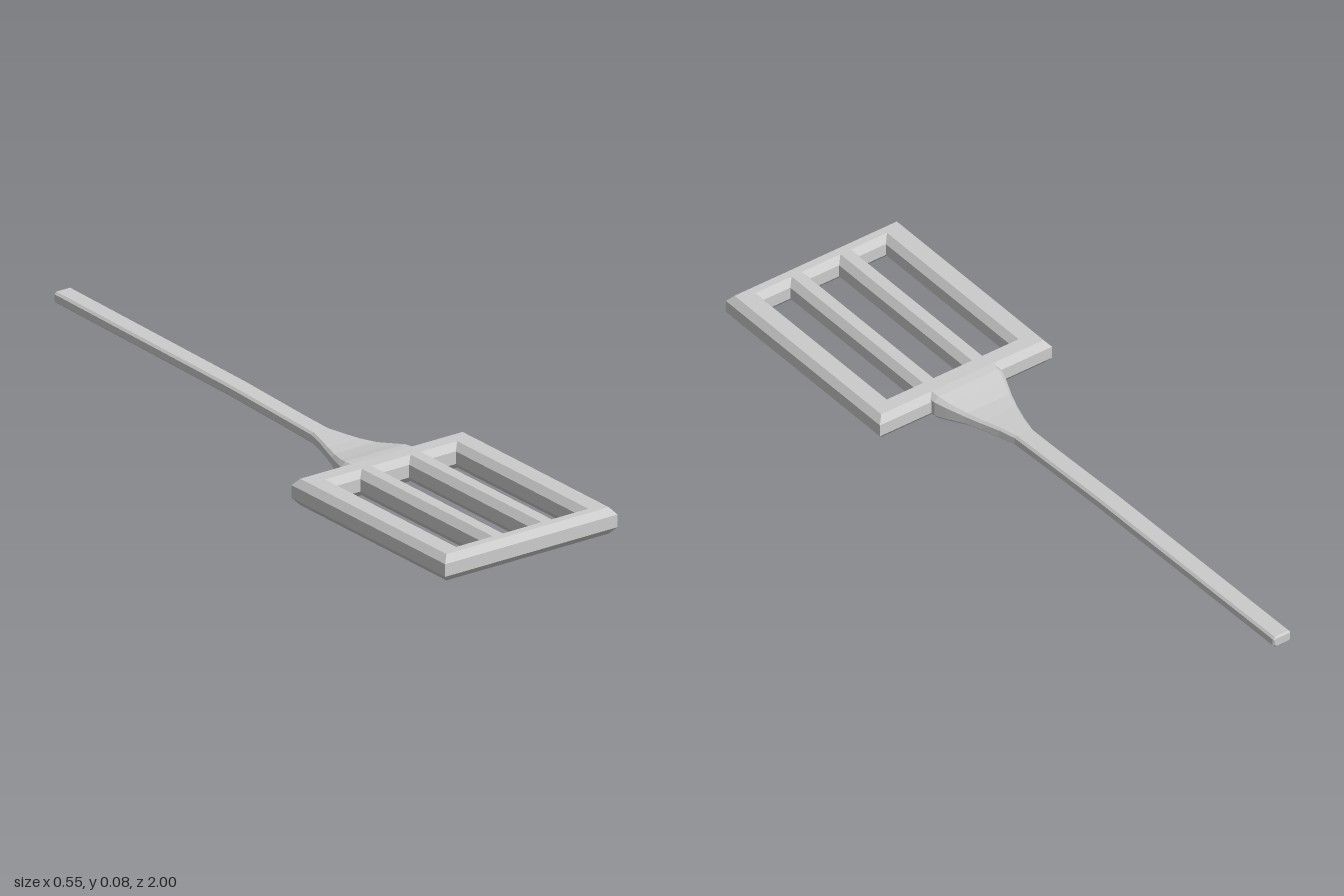
import * as THREE from 'three';

const material = new THREE.MeshStandardMaterial({ color: 0xcccccc, flatShading: true, side: THREE.DoubleSide });

function rectangle(path, x0, x1, z0, z1) {
  path.moveTo(x0, z0);
  path.lineTo(x1, z0);
  path.lineTo(x1, z1);
  path.lineTo(x0, z1);
  path.closePath();
  return path;
}

// Chamfered plate with three long slots
function createHead() {
  const chamferWidth = 0.016, chamferHeight = 0.019, depth = 0.035;
  const shape = rectangle(new THREE.Shape(), -0.275, 0.275, 0.345, 1);
  for (const [x0, x1] of [[-0.195, -0.11], [-0.046, 0.046], [0.11, 0.195]]) {
    shape.holes.push(rectangle(new THREE.Path(), x0, x1, 0.418, 0.945));
  }
  const geometry = new THREE.ExtrudeGeometry(shape, {
    depth, bevelEnabled: true, bevelSegments: 1,
    bevelSize: chamferWidth, bevelThickness: chamferHeight, bevelOffset: -chamferWidth,
  });
  geometry.rotateX(Math.PI / 2).translate(0, depth + chamferHeight, 0);
  return new THREE.Mesh(geometry, material);
}

// Loft through chamfered rectangles: [z, half width, bottom, top, chamfer]
function createHandle() {
  const sections = [
    [-1, 0.024, 0.051, 0.074, 0.004],
    [-0.995, 0.028, 0.047, 0.078, 0.006],
    [-0.25, 0.028, 0.037, 0.068, 0.006],
    [0, 0.028, 0.028, 0.059, 0.006],
    [0.1, 0.029, 0.024, 0.056, 0.006],
    [0.15, 0.041, 0.022, 0.055, 0.006],
    [0.2, 0.057, 0.021, 0.054, 0.007],
    [0.25, 0.075, 0.019, 0.056, 0.008],
    [0.3, 0.096, 0.01, 0.064, 0.01],
    [0.335, 0.109, 0.003, 0.071, 0.013],
    [0.362, 0.112, 0, 0.073, 0.014],
  ];
  const positions = [], index = [], n = 8;
  for (const [z, w, b, t, c] of sections) {
    const ring = [
      [w, b + c], [w, t - c], [w - c, t], [c - w, t],
      [-w, t - c], [-w, b + c], [c - w, b], [w - c, b],
    ];
    for (const [x, y] of ring) positions.push(x, y, z);
  }
  const last = (sections.length - 1) * n;
  for (let s = 0; s < last; s += n) {
    for (let i = 0; i < n; i++) {
      const j = (i + 1) % n;
      index.push(s + i, s + j, s + n + j, s + i, s + n + j, s + n + i);
    }
  }
  // End caps
  for (let i = 1; i < n - 1; i++) {
    index.push(0, i + 1, i, last, last + i, last + i + 1);
  }
  const geometry = new THREE.BufferGeometry();
  geometry.setAttribute('position', new THREE.Float32BufferAttribute(positions, 3));
  geometry.setIndex(index);
  const flat = geometry.toNonIndexed();
  flat.computeVertexNormals();
  return new THREE.Mesh(flat, material);
}

export function createModel() {
  const model = new THREE.Group();
  model.name = 'slottedSpatula';
  const head = createHead();
  head.name = 'slottedHead';
  const handle = createHandle();
  handle.name = 'handle';
  model.add(head, handle);
  return model;
}
